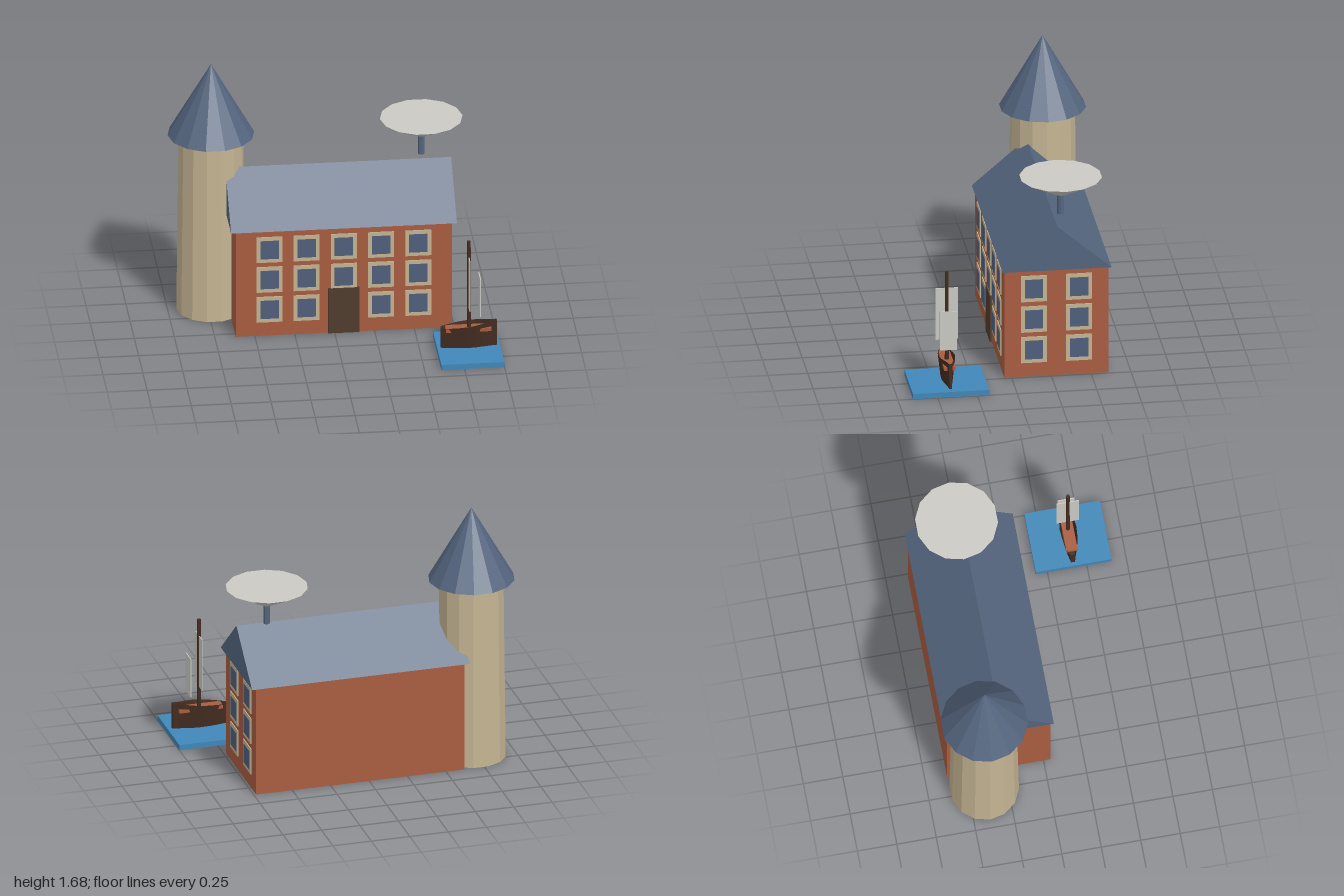
import * as THREE from 'three';

const mat = (name, color, extra = {}) => {
  const m = new THREE.MeshStandardMaterial({ color, flatShading: true, ...extra });
  m.name = name;
  return m;
};

export function createModel() {
  const root = new THREE.Group();
  root.name = 'harbourHouse';
  const brick = mat('brick', 0xa95c40);
  const stone = mat('stone', 0xc4b492);
  const slate = mat('slate', 0x54657e);
  const glass = mat('glass', 0x4f5f7c);
  const doorWood = mat('doorWood', 0x503b2d);
  const hullWood = mat('hullWood', 0x432c20, { side: THREE.DoubleSide });
  const canvas = mat('canvas', 0xcac9c3);
  const water = mat('water', 0x4087b8);

  const add = (parent, name, geo, material, x, y, z) => {
    const m = new THREE.Mesh(geo, material);
    m.name = name;
    m.position.set(x, y, z);
    parent.add(m);
    return m;
  };
  const box = (parent, name, material, w, h, d, x, y, z) =>
    add(parent, name, new THREE.BoxGeometry(w, h, d), material, x, y, z);
  // Fourteen-sided round part with corners on the x axis
  const round = (parent, name, material, rTop, rBottom, y0, y1, x, z, sides = 14) =>
    add(parent, name, new THREE.CylinderGeometry(rTop, rBottom, y1 - y0, sides), material,
      x, (y0 + y1) / 2, z).rotateY(Math.PI / 2);

  // House: walls and gabled roof
  const house = new THREE.Group();
  house.name = 'house';
  root.add(house);
  const cx = 0.058, cz = -0.283, halfW = 0.677, halfD = 0.328;
  box(house, 'walls', brick, 2 * halfW, 0.72, 2 * halfD, cx, 0.36, cz);
  const gable = new THREE.Shape([
    new THREE.Vector2(-0.343, 0), new THREE.Vector2(0.343, 0), new THREE.Vector2(0, 0.295)]);
  const roofGeo = new THREE.ExtrudeGeometry(gable, { depth: 1.416, bevelEnabled: false });
  roofGeo.translate(0, 0, -0.708).rotateY(Math.PI / 2);
  add(house, 'roof', roofGeo, slate, cx, 0.722, cz);

  // Windows: thin frame with a pane on it, facing +z before turning
  const addWindow = (x, y, z, turn) => {
    const g = new THREE.Group();
    g.name = 'window';
    box(g, 'windowFrame', stone, 0.163, 0.175, 0.006, 0, 0, 0.003);
    box(g, 'windowPane', glass, 0.115, 0.125, 0.003, 0, 0, 0.0075);
    g.position.set(x, y, z);
    g.rotation.y = turn;
    house.add(g);
  };
  for (let row = 0; row < 3; row++) {
    const y = 0.181 + row * 0.206;
    for (let col = -2; col <= 2; col++) {
      if (row === 0 && col === 0) continue; // the door is here
      addWindow(cx + col * 0.233, y, cz + halfD, 0);
    }
    for (const s of [-1, 1]) addWindow(cx + halfW, y, cz + s * 0.142, Math.PI / 2);
  }
  box(house, 'door', doorWood, 0.196, 0.308, 0.012, cx, 0.154, cz + halfD + 0.006);

  // Tower with pointed roof
  round(root, 'tower', stone, 0.203, 0.217, 0, 1.205, -0.728, -0.396);
  round(root, 'towerRoof', slate, 0, 0.272, 1.203, 1.682, -0.728, -0.396);

  // Dish on a short post
  round(root, 'dishPost', slate, 0.021, 0.021, 1.03, 1.162, 0.583, -0.328, 8);
  round(root, 'dish', canvas, 0.259, 0.035, 1.16, 1.28, 0.583, -0.33);

  // Water slab
  box(root, 'waterSlab', water, 0.396, 0.035, 0.48, 0.802, 0.0175, 0.416);

  // Boat
  const boat = new THREE.Group();
  boat.name = 'boat';
  boat.position.z = 0.416;
  root.add(boat);

  // Open hull lofted through [x, half width] stations, stern to bow
  const stations = [[0.625, 0.019], [0.685, 0.038], [0.74, 0.049], [0.80, 0.053],
    [0.84, 0.048], [0.88, 0.037], [0.94, 0.017], [0.977, 0.011]];
  const verts = [], index = [];
  for (const [x, w] of stations) {
    const rim = 0.178 + (x - 0.625) * 0.11;
    verts.push(x, rim, w, x, 0.045, w * 0.66, x, 0.045, -w * 0.66, x, rim, -w);
  }
  const last = stations.length - 1;
  for (let i = 0; i < last; i++) {
    for (let j = 0; j < 3; j++) {
      const a = i * 4 + j, b = a + 4;
      index.push(a, a + 1, b, a + 1, b + 1, b);
    }
  }
  const e = last * 4;
  index.push(0, 3, 1, 1, 3, 2, e, e + 1, e + 3, e + 1, e + 2, e + 3);
  const hullGeo = new THREE.BufferGeometry();
  hullGeo.setAttribute('position', new THREE.Float32BufferAttribute(verts, 3));
  hullGeo.setIndex(index);
  hullGeo.computeVertexNormals();
  add(boat, 'hull', hullGeo, hullWood, 0, 0, 0);

  box(boat, 'deck', brick, 0.285, 0.022, 0.072, 0.798, 0.166, 0);
  round(boat, 'mast', hullWood, 0.012, 0.013, 0.15, 0.767, 0.802, 0, 8);
  box(boat, 'mainSail', canvas, 0.006, 0.347, 0.143, 0.802, 0.484, 0);
  box(boat, 'foreSail', canvas, 0.006, 0.26, 0.107, 0.87, 0.395, 0);

  return root;
}
